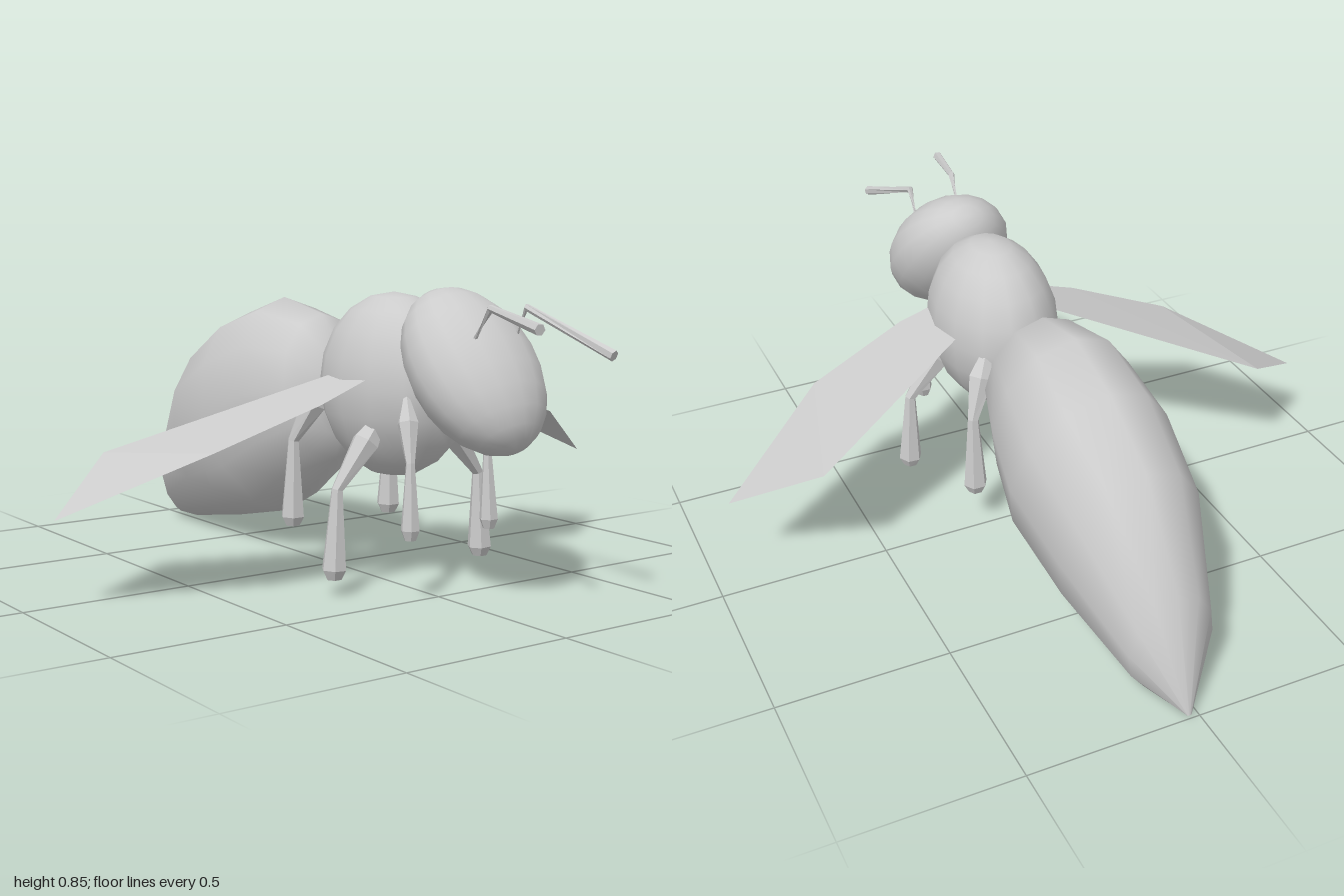
import * as THREE from 'three';

const CX = 0.03; // body midline
const V = (x, y, z) => new THREE.Vector3(x, y, z);
const smooth = new THREE.MeshStandardMaterial({ color: 0xcccccc });
const faceted = new THREE.MeshStandardMaterial({ color: 0xcccccc, flatShading: true });
const sheet = new THREE.MeshStandardMaterial({ color: 0xcccccc, side: THREE.DoubleSide, flatShading: true });

// Skin over rings { c, u, v }: centre and two half axes, with u x v along the path
function loft(rings, sides) {
  const pos = [], idx = [];
  for (const { c, u, v } of rings) {
    for (let j = 0; j < sides; j++) {
      const a = (j / sides) * Math.PI * 2;
      const p = c.clone().addScaledVector(u, Math.cos(a)).addScaledVector(v, Math.sin(a));
      pos.push(p.x, p.y, p.z);
    }
  }
  for (let i = 0; i < rings.length - 1; i++) {
    for (let j = 0; j < sides; j++) {
      const k = (j + 1) % sides, a = i * sides + j, b = i * sides + k;
      idx.push(a, b, b + sides, a, b + sides, a + sides);
    }
  }
  // close both ends with a centre point
  const first = pos.length / 3, last = first + 1, base = (rings.length - 1) * sides;
  for (const r of [rings[0], rings[rings.length - 1]]) pos.push(r.c.x, r.c.y, r.c.z);
  for (let j = 0; j < sides; j++) {
    const k = (j + 1) % sides;
    idx.push(first, k, j, last, base + j, base + k);
  }
  const g = new THREE.BufferGeometry();
  g.setAttribute('position', new THREE.Float32BufferAttribute(pos, 3));
  g.setIndex(idx);
  g.computeVertexNormals();
  return g;
}

// Round limb through points with a radius at each
function limb(points, radii, sides) {
  const rings = points.map((c, i) => {
    const w = points[Math.min(i + 1, points.length - 1)].clone().sub(points[Math.max(i - 1, 0)]).normalize();
    const u = V(0, 0, 1).cross(w);
    if (u.length() < 0.3) u.copy(V(1, 0, 0)).addScaledVector(w, -w.x);
    u.normalize();
    const v = w.clone().cross(u);
    return { c, u: u.multiplyScalar(radii[i]), v: v.multiplyScalar(radii[i]) };
  });
  return loft(rings, sides);
}

export function createModel() {
  const model = new THREE.Group();
  model.name = 'insect';
  const add = (name, geometry, material) => {
    const m = new THREE.Mesh(geometry, material);
    m.name = name;
    model.add(m);
    return m;
  };

  // Head: flattened ellipsoid leaning back
  const head = add('head', new THREE.SphereGeometry(1, 16, 12), smooth);
  head.scale.set(0.188, 0.258, 0.147);
  head.rotation.x = -0.73;
  head.position.set(CX, 0.63, 0.6);

  // Thorax
  const thorax = add('thorax', new THREE.SphereGeometry(1, 14, 10), smooth);
  thorax.scale.set(0.188, 0.262, 0.252);
  thorax.position.set(CX + 0.005, 0.56, 0.247);

  // Abdomen, tip to waist: top z, top y, bottom z, bottom y, half width
  const sections = [
    [-1, 0.012, -0.995, 0.008, 0.006],
    [-0.91, 0.335, -0.86, 0, 0.125],
    [-0.72, 0.6, -0.57, 0.05, 0.21],
    [-0.51, 0.72, -0.29, 0.11, 0.24],
    [-0.305, 0.78, -0.15, 0.21, 0.215],
    [-0.1, 0.74, -0.03, 0.31, 0.165],
    [0, 0.635, -0.005, 0.38, 0.09],
  ];
  add('abdomen', loft(sections.map(([tz, ty, bz, by, w]) => ({
    c: V(CX, (ty + by) / 2, (tz + bz) / 2),
    u: V(w, 0, 0),
    v: V(0, (ty - by) / 2, (tz - bz) / 2),
  })), 12), smooth);

  // Legs: hip, knee and foot, with x measured from the midline
  const legs = {
    front: [[0.1, 0.55, 0.44], [0.135, 0.38, 0.505], [0.138, 0.185, 0.51], 0.75],
    middle: [[0.09, 0.5, 0.33], [0.25, 0.295, 0.33], [0.26, 0.06, 0.33], 1],
    hind: [[0.1, 0.57, 0.07], [0.175, 0.385, 0.005], [0.175, 0.145, 0], 1],
  };
  for (const [name, [hip, knee, foot, s]] of Object.entries(legs)) {
    for (const side of [1, -1]) {
      const [h, k, f] = [hip, knee, foot].map(([x, y, z]) => V(CX + side * x, y, z));
      const thigh = h.clone().lerp(k, 0.4);
      const sole = f.clone().add(V(0, -0.012, 0));
      const ankle = f.clone().add(V(0, 0.015, 0));
      const label = name + (side > 0 ? 'LeftLeg' : 'RightLeg');
      add(label, limb([h, thigh, k, ankle, sole], [0.012, 0.04, 0.017, 0.036, 0.022].map((r) => r * s), 6), faceted);
    }
  }

  // Wings: thin drooping sheets
  const outline = [
    [0.12, 0.605, 0.175], [0.7, 0.395, -0.11], [0.935, 0.258, 0.065],
    [0.59, 0.435, 0.3], [0.29, 0.545, 0.355], [0.12, 0.605, 0.34],
  ];
  for (const side of [1, -1]) {
    const g = new THREE.BufferGeometry();
    g.setAttribute('position', new THREE.Float32BufferAttribute(
      outline.flatMap(([x, y, z]) => [side * x, y + side * 0.01, z]), 3));
    const fan = [0, 4, 1, 1, 4, 3, 1, 3, 2, 0, 5, 4];
    g.setIndex(side > 0 ? fan : fan.reverse());
    g.computeVertexNormals();
    add(side > 0 ? 'leftWing' : 'rightWing', g, sheet);
  }

  // Antennae, bent at the elbow
  const antennae = {
    leftAntenna: [V(0.105, 0.7, 0.67), V(0.105, 0.8, 0.72), V(0.153, 0.692, 0.99)],
    rightAntenna: [V(-0.04, 0.7, 0.67), V(-0.052, 0.805, 0.76), V(-0.097, 0.768, 0.99)],
  };
  for (const [name, path] of Object.entries(antennae)) {
    add(name, limb(path, [0.01, 0.01, 0.015], 6), faceted);
  }
  return model;
}
